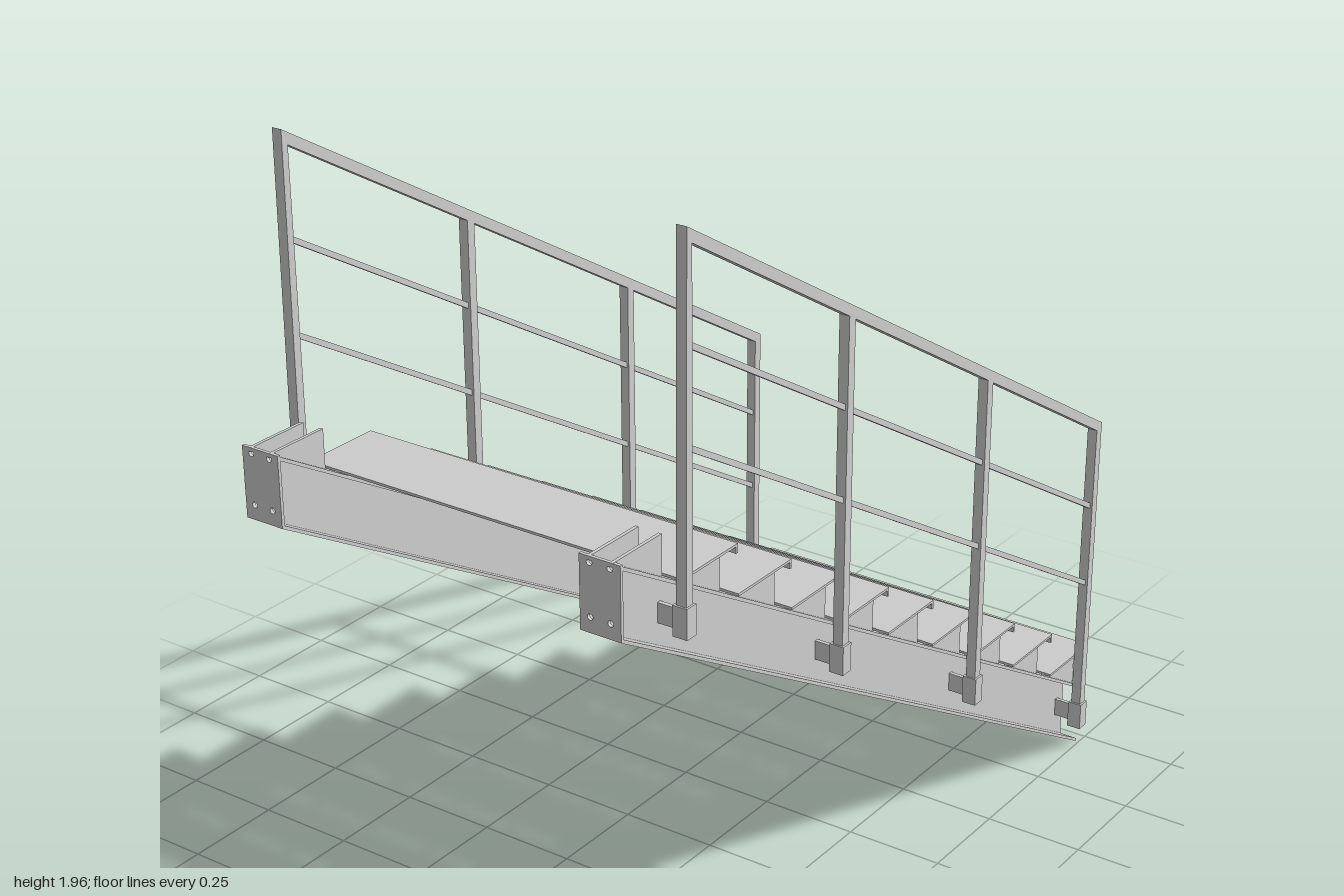
import * as THREE from 'three';

const SLOPE = 0.585, DEPTH = 0.167, FLANGE = 0.009;
const Z_LOW = -0.965, Z_HIGH = 1;
const STEPS = 9, RUN = 0.2, RISE = 0.1168;
const material = new THREE.MeshStandardMaterial({ color: 0xcccccc });

// height of the stringer underside at a given z
const under = z => (z - Z_LOW) * SLOPE;

function add(parent, name, geometry) {
  const mesh = new THREE.Mesh(geometry, material);
  mesh.name = name;
  parent.add(mesh);
  return mesh;
}

// side outline of [z, y] points, extruded from x0 to x1
function slab(parent, name, points, x0, x1) {
  const shape = new THREE.Shape(points.map(([z, y]) => new THREE.Vector2(z, y)));
  const g = new THREE.ExtrudeGeometry(shape, { depth: x1 - x0, bevelEnabled: false });
  g.rotateY(-Math.PI / 2).translate(x1, 0, 0);
  return add(parent, name, g);
}

function box(parent, name, x0, x1, y0, y1, z0, z1) {
  const g = new THREE.BoxGeometry(x1 - x0, y1 - y0, z1 - z0);
  g.translate((x0 + x1) / 2, (y0 + y1) / 2, (z0 + z1) / 2);
  return add(parent, name, g);
}

// bar following the stair slope, offset above the stringer underside
function sloped(parent, name, z0, z1, low, high, x0, x1) {
  slab(parent, name, [
    [z0, under(z0) + low], [z1, under(z1) + low],
    [z1, under(z1) + high], [z0, under(z0) + high],
  ], x0, x1);
}

// x range on either side, sign -1 mirrors it
const span = (s, a, b) => (s > 0 ? [a, b] : [-b, -a]);

function stringer(s) {
  const group = new THREE.Group();
  group.name = s > 0 ? 'leftStringer' : 'rightStringer';
  const wide = span(s, 0.392, 0.492);

  // I-beam
  sloped(group, 'bottomFlange', Z_LOW, Z_HIGH, 0, FLANGE, ...wide);
  sloped(group, 'topFlange', Z_LOW, Z_HIGH, DEPTH - FLANGE, DEPTH, ...wide);
  sloped(group, 'web', Z_LOW, Z_HIGH, FLANGE, DEPTH - FLANGE, ...span(s, 0.438, 0.446));

  // drilled end plate at the top
  const y0 = under(Z_HIGH), y1 = y0 + DEPTH;
  const plate = new THREE.Shape([[wide[0], y0], [wide[1], y0], [wide[1], y1], [wide[0], y1]]
    .map(p => new THREE.Vector2(...p)));
  for (const x of [0.417, 0.467]) {
    for (const y of [y0 + 0.035, y1 - 0.013]) {
      plate.holes.push(new THREE.Path().absarc(s * x, y, 0.007, 0, Math.PI * 2, true));
    }
  }
  const g = new THREE.ExtrudeGeometry(plate, { depth: 0.008, bevelEnabled: false, curveSegments: 6 });
  add(group, 'endPlate', g.translate(0, 0, Z_HIGH - 0.008));

  // pairs of tread brackets, including the landing step
  for (let i = -1; i < STEPS; i++) {
    const z = 0.8 - RUN * i, y = 1.2 - RISE * i, zf = z - 0.16;
    const base = q => under(q) + DEPTH - 0.003;
    for (const x of [0.41, 0.466]) {
      slab(group, 'treadBracket', [[zf, base(zf)], [z, Math.min(base(z), y - 0.001)], [z, y], [zf, y]],
        ...span(s, x, x + 0.008));
    }
  }
  return group;
}

function railing(s) {
  const group = new THREE.Group();
  group.name = s > 0 ? 'leftRailing' : 'rightRailing';
  const tube = span(s, 0.496, 0.521);
  const topRail = 0.912; // top of the handrail above the stringer underside

  sloped(group, 'handrail', -0.943, 0.818, topRail - 0.028, topRail, ...tube);
  for (const h of [0.455, 0.67]) {
    sloped(group, 'midRail', -0.93, 0.81, h, h + 0.015, ...span(s, 0.502, 0.515));
  }
  for (const z of [0.813, 0.229, -0.369, -0.93]) {
    const z0 = z - 0.012, z1 = z + 0.012, foot = under(z) + 0.05;
    const top = topRail - 0.02;
    slab(group, 'post', [
      [z0, foot + 0.01], [z1, foot + 0.01],
      [Math.min(z1, 0.818), under(z1) + top], [z0, under(z0) + top],
    ], ...tube);
    // post shoe and the lug that ties it to the web
    box(group, 'postShoe', ...span(s, 0.49, 0.526), foot, foot + 0.07, z - 0.016, z + 0.016);
    box(group, 'postLug', ...span(s, 0.442, 0.494), foot + 0.012, foot + 0.058, z - 0.005, z + 0.005);
  }
  return group;
}

export function createModel() {
  const model = new THREE.Group();
  model.name = 'staircase';

  for (const s of [1, -1]) model.add(stringer(s), railing(s));

  // folded plate treads with a lip on the nosing
  for (let i = 0; i < STEPS; i++) {
    const z = 0.8 - RUN * i, y = 1.206 - RISE * i, zn = z - (i === STEPS - 1 ? 0.2 : 0.197);
    slab(model, 'tread', [
      [z, y], [zn, y], [zn, y - 0.022], [zn + 0.006, y - 0.022],
      [zn + 0.006, y - 0.006], [z, y - 0.006],
    ], -0.492, 0.492);
  }
  return model;
}
